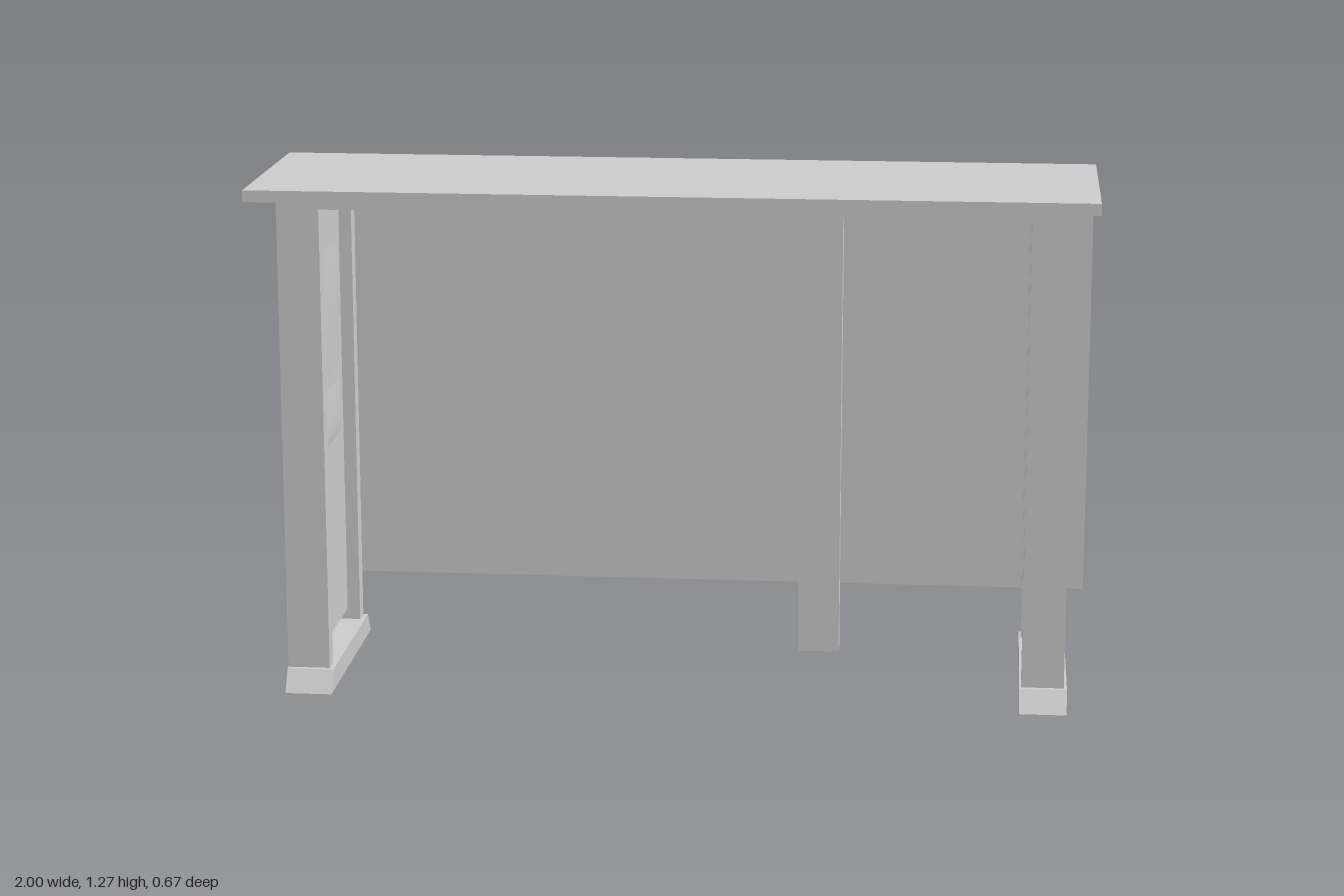
import * as THREE from 'three';
import { toCreasedNormals } from 'three/addons/utils/BufferGeometryUtils.js';

const grey = new THREE.MeshStandardMaterial({ color: 0xcccccc, side: THREE.DoubleSide });

function add(parent, geometry, name) {
  const mesh = new THREE.Mesh(geometry, grey);
  mesh.name = name;
  parent.add(mesh);
  return mesh;
}

// Extrudes a side profile, drawn as (-z, y), along x and centres it on cx.
function sideExtrude(shape, width, cx) {
  const g = new THREE.ExtrudeGeometry(shape, { depth: width, bevelEnabled: false, curveSegments: 14 });
  g.translate(0, 0, -width / 2);
  g.rotateY(Math.PI / 2);
  g.translate(cx, 0, 0);
  return toCreasedNormals(g, 0.5);
}

// Removes the faces lying on the floor, leaving a hollow part open underneath.
function openBottom(geometry) {
  const pos = geometry.attributes.position, kept = [];
  for (let i = 0; i < pos.count; i += 3) {
    const onFloor = [i, i + 1, i + 2].every((j) => pos.getY(j) < 1e-4);
    if (!onFloor) kept.push(i, i + 1, i + 2);
  }
  geometry.setIndex(kept);
  geometry.clearGroups();
  return geometry;
}

// Band running back along the top, round the rear corner and down.
function bentBand({ front, frontTop, top, back, thick, radius, innerRadius, bottom }) {
  const s = new THREE.Shape();
  s.moveTo(front, frontTop);
  s.lineTo(front, top);
  s.lineTo(back - radius, top);
  s.absarc(back - radius, top - radius, radius, Math.PI / 2, 0, true);
  s.lineTo(back, bottom);
  s.lineTo(back - thick, bottom);
  s.lineTo(back - thick, frontTop - innerRadius);
  s.absarc(back - thick - innerRadius, frontTop - innerRadius, innerRadius, 0, Math.PI / 2, false);
  s.lineTo(front, frontTop);
  return s;
}

function polygon(points) {
  return new THREE.Shape(points.map(([u, v]) => new THREE.Vector2(u, v)));
}

// Soft swelling on the outer face of a leaf; its rim is sunk into the board.
function swelling(x, y0, y1, peak) {
  const g = new THREE.PlaneGeometry(0.24, y1 - y0, 10, 16).rotateY(Math.PI / 2);
  const pos = g.attributes.position;
  for (let i = 0; i < pos.count; i++) {
    const t = pos.getY(i) / (y1 - y0) + 0.5;
    const across = 1 - Math.pow(Math.abs(pos.getZ(i)) / 0.12, 6);
    const rise = t < peak ? t / peak : (1 - t) / (1 - peak);
    pos.setX(i, -0.001 + 0.005 * across * Math.sin(rise * Math.PI / 2));
  }
  g.translate(x, (y0 + y1) / 2, -0.096);
  g.computeVertexNormals();
  return g;
}

// Upright leaf hung on a thin rod
function addLeaf(parent, cx) {
  const leaf = new THREE.Group();
  leaf.name = 'sidePanel';
  parent.add(leaf);
  const thick = 0.045;
  const s = new THREE.Shape();
  s.moveTo(-0.047, 0.086);
  s.lineTo(0.238, 0.086);
  s.lineTo(0.238, 1.157);
  s.absarc(0.213, 1.157, 0.025, 0, Math.PI / 2, false);
  s.lineTo(-0.047, 1.182);
  add(leaf, sideExtrude(s, thick, cx), 'panelBoard');
  add(leaf, swelling(cx + thick / 2, 0.56, 0.72, 0.3), 'lowerSwelling');
  add(leaf, swelling(cx + thick / 2, 0.72, 1.09, 0.5), 'upperSwelling');
  const rod = add(leaf, new THREE.CylinderGeometry(0.01, 0.01, 1.17, 16), 'pivotRod');
  rod.position.set(cx, 0.625, 0.02);
}

export function createModel() {
  const model = new THREE.Group();
  model.name = 'counter';
  const legWidth = 0.103;

  // Counter top that bends down into the back panel
  const shell = bentBand({
    front: -0.335, frontTop: 1.246, top: 1.274, back: 0.329,
    thick: 0.03, radius: 0.118, innerRadius: 0.088, bottom: 0.17,
  });
  add(model, sideExtrude(shell, 2, 0), 'topAndBackPanel');

  // Hollow bent rail and rear leg, used by the end frames and the middle support
  const rail = bentBand({
    front: -0.163, frontTop: 1.2, top: 1.246, back: 0.299,
    thick: 0.046, radius: 0.088, innerRadius: 0.042, bottom: 0,
  });
  const addRail = (parent, cx, name) => add(parent, openBottom(sideExtrude(rail, legWidth, cx)), name);

  const frontLeg = polygon([[-0.163, 0], [-0.117, 0], [-0.117, 1.2], [-0.163, 1.2]]);
  const foot = polygon([[-0.21, 0], [0.335, 0], [0.299, 0.053], [-0.175, 0.053]]);

  // End frames: front leg, bent rail, foot and hanging leaf
  for (const [name, legX, footX] of [['rightFrame', -0.906, -0.9], ['leftFrame', 0.896, 0.8975]]) {
    const frame = new THREE.Group();
    frame.name = name;
    model.add(frame);
    addRail(frame, legX, 'railAndBackLeg');
    add(frame, openBottom(sideExtrude(frontLeg, legWidth, legX)), 'frontLeg');
    add(frame, openBottom(sideExtrude(foot, 0.115, footX)), 'foot');
    addLeaf(frame, legX);
  }

  // Middle support and the beam under the front of the top
  addRail(model, 0.331, 'middleSupport');
  const beam = add(model, new THREE.BoxGeometry(1.7, 0.046, 0.046), 'frontBeam');
  beam.position.set(-0.005, 1.223, 0.14);

  return model;
}
